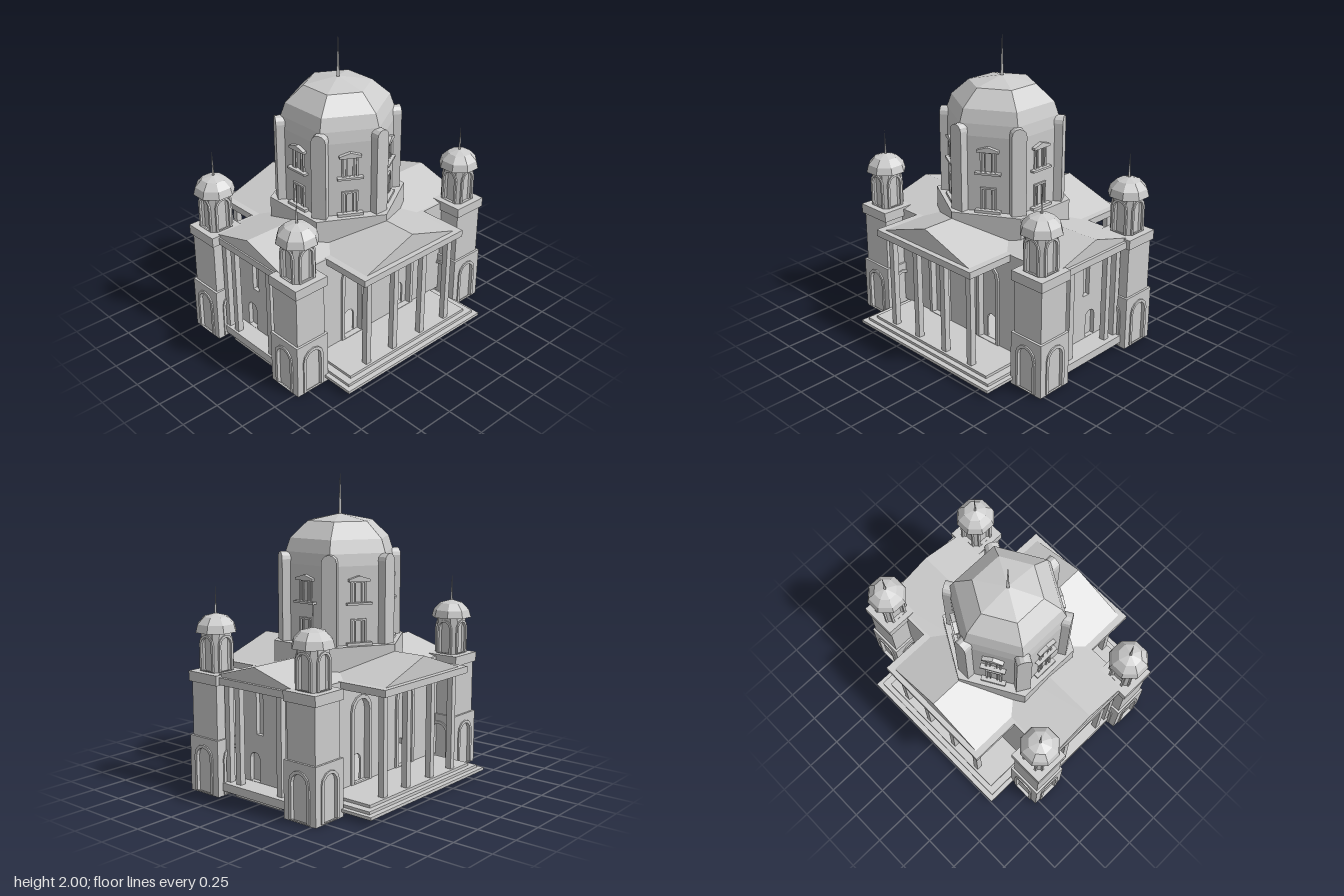
import * as THREE from 'three';

const stone = new THREE.MeshStandardMaterial({ color: 0xcccccc, flatShading: true });
stone.name = 'stone grey';

function add(parent, name, geometry, x = 0, y = 0, z = 0, ry = 0) {
  const m = new THREE.Mesh(geometry, stone);
  m.name = name;
  m.position.set(x, y, z);
  m.rotation.y = ry;
  parent.add(m);
  return m;
}

// Box given by its bottom and top heights
function block(parent, name, w, y0, y1, d, x = 0, z = 0) {
  return add(parent, name, new THREE.BoxGeometry(w, y1 - y0, d), x, (y0 + y1) / 2, z);
}

function group(parent, name, x = 0, z = 0, ry = 0) {
  const g = new THREE.Group();
  g.name = name;
  g.position.set(x, 0, z);
  g.rotation.y = ry;
  parent.add(g);
  return g;
}

// Round-headed outline, y1 is the crown
function arch(Type, w, y0, y1, cx = 0) {
  const r = w / 2, p = new Type();
  p.moveTo(cx - r, y0);
  p.lineTo(cx + r, y0);
  for (let i = 0; i <= 6; i++) {
    const a = i * Math.PI / 6;
    p.lineTo(cx + r * Math.cos(a), y1 - r + r * Math.sin(a));
  }
  p.closePath();
  return p;
}

function rect(Type, x0, x1, y0, y1) {
  const p = new Type();
  p.moveTo(x0, y0);
  p.lineTo(x1, y0);
  p.lineTo(x1, y1);
  p.lineTo(x0, y1);
  p.closePath();
  return p;
}

// Extrusion centred on its own depth
function slab(shape, depth, holes = []) {
  shape.holes.push(...holes);
  return new THREE.ExtrudeGeometry(shape, { depth, bevelEnabled: false }).translate(0, 0, -depth / 2);
}

function archFrame(w, y0, y1, t, depth) {
  return slab(arch(THREE.Shape, w, y0, y1), depth, [arch(THREE.Path, w - 2 * t, y0 + 0.003, y1 - t)]);
}

function polygon(points) {
  return new THREE.Shape(points.map(([x, y]) => new THREE.Vector2(x, y)));
}

function triangle(half, y0, y1) {
  return polygon([[-half, y0], [half, y0], [0, y1]]);
}

function prism(sides, rBottom, rTop, y0, y1, turn = 0) {
  return new THREE.CylinderGeometry(rTop, rBottom, y1 - y0, sides, 1, false, turn).translate(0, (y0 + y1) / 2, 0);
}

// Faceted dome, profile as [radius, height] pairs from bottom to top
function dome(sides, profile, turn) {
  return new THREE.LatheGeometry(profile.map(([r, y]) => new THREE.Vector2(r, y)), sides, turn);
}

function column(parent, x, z) {
  block(parent, 'column', 0.04, 0.085, 0.725, 0.04, x, z);
}

// Corner tower with hollow base, arched belfry, small dome and spire
function tower(parent, x, z) {
  const t = group(parent, 'cornerTower', x, z);
  const lining = slab(rect(THREE.Shape, -0.11, 0.11, -0.11, 0.11), 0.362,
    [rect(THREE.Path, -0.1, 0.1, -0.1, 0.1)]);
  add(t, 'baseLining', lining.rotateX(-Math.PI / 2), 0, 0.181, 0);
  block(t, 'towerShaft', 0.22, 0.36, 0.72, 0.22);
  block(t, 'towerCornice', 0.25, 0.715, 0.78, 0.25);
  block(t, 'belfryCore', 0.13, 0.78, 1.03, 0.13);
  for (let i = 0; i < 4; i++) {
    const side = group(t, 'towerSide', 0, 0, i * Math.PI / 2);
    add(side, 'baseWall', slab(rect(THREE.Shape, -0.125, 0.125, 0, 0.365), 0.017,
      [arch(THREE.Path, 0.12, 0.003, 0.3)]), 0, 0, 0.1165);
    add(side, 'baseArch', archFrame(0.16, 0.01, 0.32, 0.02, 0.012), 0, 0, 0.128);
    add(side, 'belfryWall', slab(rect(THREE.Shape, -0.052, 0.052, 0.78, 1.03), 0.018,
      [arch(THREE.Path, 0.088, 0.783, 1.0)]), 0, 0, 0.073);
    add(side, 'belfryArch', archFrame(0.12, 0.785, 1.015, 0.016, 0.012), 0, 0, 0.084);
    const pier = group(side, 'belfryPier', 0, 0, Math.PI / 4);
    block(pier, 'pier', 0.046, 0.78, 1.03, 0.03, 0, 0.079);
  }
  const k = 1 / Math.cos(Math.PI / 8);
  add(t, 'towerDome', dome(8, [[0, 1.03], [0.125 * k, 1.03], [0.112 * k, 1.08], [0.072 * k, 1.125], [0, 1.147]], Math.PI / 8));
  add(t, 'towerSpire', prism(4, 0.01, 0.001, 1.13, 1.31));
}

// One face of the drum: two framed windows
function drumFace(parent, angle) {
  const f = group(parent, 'drumFace', 0, 0, angle), z = 0.331;
  const frame = (y0, y1) => slab(rect(THREE.Shape, -0.052, 0.052, y0, y1), 0.02,
    [rect(THREE.Path, -0.04, 0.04, y0 + 0.005, y1 - 0.012)]);
  add(f, 'lowerWindow', frame(0.955, 1.11), 0, 0, z);
  add(f, 'upperWindow', frame(1.21, 1.35), 0, 0, z);
  for (const x of [-0.022, 0.022]) {
    block(f, 'mullion', 0.008, 1.21, 1.34, 0.014, x, z);
    block(f, 'mullion', 0.008, 0.955, 1.1, 0.014, x, z);
  }
  block(f, 'lowerSill', 0.165, 0.945, 0.963, 0.06, 0, z);
  block(f, 'upperSill', 0.165, 1.2, 1.214, 0.06, 0, z);
  const hood = polygon([[-0.07, 1.345], [0.07, 1.345], [0.07, 1.36], [0, 1.382], [-0.07, 1.36]]);
  add(f, 'windowHood', slab(hood, 0.05), 0, 0, z);
}

export function createModel() {
  const model = new THREE.Group();
  model.name = 'domedChurch';

  // Stepped platform
  block(model, 'lowerStep', 1.5, 0.033, 0.052, 1.22, 0, 0.004);
  block(model, 'middleStep', 1.43, 0.052, 0.07, 1.16, 0, 0.004);
  block(model, 'upperStep', 1.36, 0.07, 0.088, 1.06, 0, 0.006);
  block(model, 'porchFloor', 0.6, 0.035, 0.088, 1.58, 0, -0.01);

  for (const s of [-1, 1]) {
    block(model, 'porchStep', 0.38, 0.012, 0.036, 0.17, 0, s * 0.69);

    // Side wall with two tall arches, each holding a small doorway
    const side = group(model, 'sideWall', s * 0.355, 0, s * Math.PI / 2);
    const centres = [-0.23, 0.23];
    add(side, 'archedWall', slab(rect(THREE.Shape, -0.62, 0.62, 0.08, 0.73), 0.03,
      centres.map(c => arch(THREE.Path, 0.15, 0.09, 0.63, c))));
    add(side, 'recessedWall', slab(rect(THREE.Shape, -0.62, 0.62, 0.08, 0.73), 0.015,
      centres.map(c => arch(THREE.Path, 0.085, 0.09, 0.265, c))), 0, 0, -0.025);
    for (const c of centres) add(side, 'archSurround', archFrame(0.2, 0.09, 0.655, 0.025, 0.02), c, 0, 0.018);

    // End wall with low arches and tall windows
    const end = group(model, 'endWall', 0, s * 0.64, s > 0 ? 0 : Math.PI);
    const holes = [];
    for (const k of [-1, 1]) {
      holes.push(arch(THREE.Path, 0.085, 0.09, 0.28, k * 0.135));
      holes.push(rect(THREE.Path, k * 0.09 - 0.028, k * 0.09 + 0.028, 0.4, 0.71));
    }
    add(end, 'piercedWall', slab(rect(THREE.Shape, -0.36, 0.36, 0.08, 0.73), 0.03, holes));
    block(end, 'backingWall', 0.7, 0.08, 0.73, 0.015, 0, -0.025);

    // Porch columns
    for (const p of [-0.358, -0.123, 0.131, 0.366]) column(model, s * 0.645, p);
    for (const p of [-0.265, -0.175, 0.175, 0.265]) column(model, p, s * 0.745);

    for (const z of [-0.713, 0.713]) tower(model, s * 0.405, z);
  }

  // Entablatures and crossing gable roofs
  block(model, 'mainEntablature', 0.74, 0.72, 0.766, 1.6, 0, -0.013);
  add(model, 'mainRoof', slab(triangle(0.36, 0.764, 0.868), 1.57), 0, 0, -0.008);
  const crossing = group(model, 'crossing', 0, 0.013);
  block(crossing, 'sideEntablature', 1.42, 0.722, 0.767, 0.875);
  add(crossing, 'sideRoof', slab(triangle(0.4, 0.764, 0.9), 1.35), 0, 0, 0, Math.PI / 2);

  // Hexagonal drum with windows and corner buttresses
  const hexTurn = Math.PI / 2;
  add(crossing, 'drumBase', prism(6, 0.45, 0.45, 0.76, 0.945, hexTurn));
  add(crossing, 'drum', prism(6, 0.38, 0.38, 0.945, 1.44, hexTurn));
  for (let i = 0; i < 6; i++) {
    drumFace(crossing, i * Math.PI / 3);
    const corner = group(crossing, 'drumCorner', 0, 0, Math.PI / 6 + i * Math.PI / 3);
    add(corner, 'buttress', slab(arch(THREE.Shape, 0.095, 0.945, 1.515), 0.06), 0, 0, 0.376);
  }

  // Main dome and spire
  add(crossing, 'mainDome', dome(6, [[0.38, 1.44], [0.368, 1.515], [0.338, 1.6], [0.22, 1.705], [0, 1.748]], hexTurn));
  add(crossing, 'mainSpire', prism(4, 0.014, 0.002, 1.73, 2));
  return model;
}
